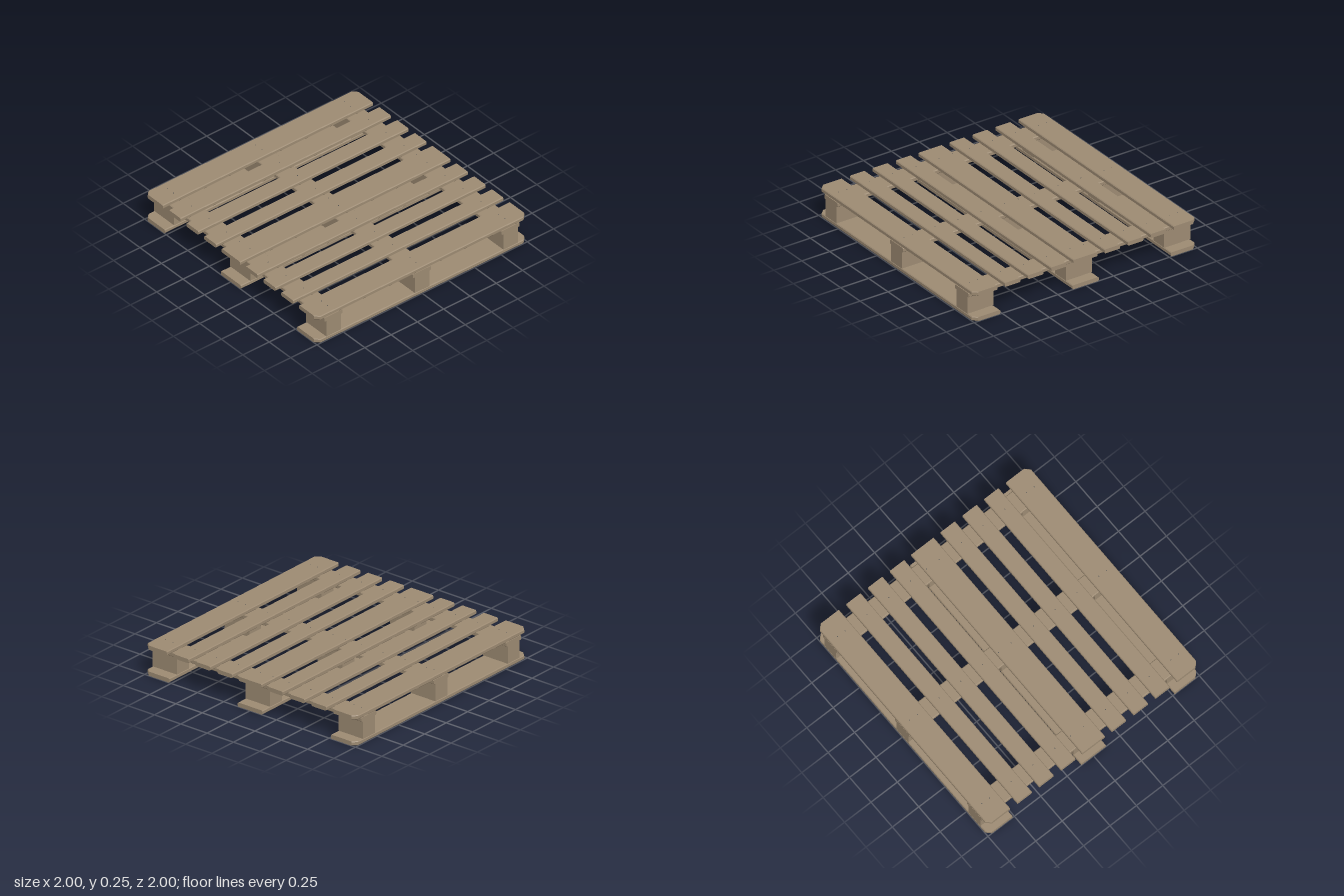
import * as THREE from 'three';

const wood = new THREE.MeshStandardMaterial({ color: 0x9c8a72 });
wood.name = 'wood';
const steel = new THREE.MeshStandardMaterial({ color: 0x5a5854 });
steel.name = 'nail steel';

// Plank along x with eased long edges; side = +1/-1 clips the two corners on that z side.
function plankGeometry(length, width, height, side = 0) {
  const w = width / 2, h = height / 2, e = 0.006, clip = 0.035;
  const profile = new THREE.Shape([
    [-w + e, -h], [w - e, -h], [w, -h + e], [w, h - e],
    [w - e, h], [-w + e, h], [-w, h - e], [-w, -h + e],
  ].map(([x, y]) => new THREE.Vector2(x, y)));
  const g = new THREE.ExtrudeGeometry(profile, { depth: length, steps: side ? 3 : 1, bevelEnabled: false });
  g.translate(0, 0, -length / 2).rotateY(Math.PI / 2);
  if (side) {
    const p = g.attributes.position;
    for (let i = 0; i < p.count; i++) {
      const x = p.getX(i), z = p.getZ(i);
      if (Math.abs(x) < length / 2 - 0.001) p.setX(i, Math.sign(x) * (length / 2 - clip));
      else if (z * side > 0) p.setZ(i, z - side * clip);
    }
    g.computeVertexNormals();
  }
  return g;
}

export function createModel() {
  const model = new THREE.Group();
  const columns = [-0.842, 0, 0.842];
  const nailGeometry = new THREE.CylinderGeometry(0.004, 0.004, 0.004, 8);

  function add(name, geometry, x, y, z, material = wood) {
    const mesh = new THREE.Mesh(geometry, material);
    mesh.name = name;
    mesh.position.set(x, y, z);
    model.add(mesh);
    return mesh;
  }

  // Deck boards: wide ones at the ends and middle, narrow ones between
  const deck = [[0, 0.215, 0]];
  for (const s of [-1, 1]) {
    deck.push([s * 0.895, 0.21, s]);
    for (const z of [0.24, 0.447, 0.653]) deck.push([s * z, 0.138, 0]);
  }
  for (const [z, width, side] of deck) {
    add('deckBoard', plankGeometry(2, width, 0.034, side), 0, 0.228, z);
    const offsets = z === 0 ? [-0.09, 0.03] : width > 0.2 ? [-0.036, 0.036] : [0];
    for (const x of columns)
      for (const dz of offsets) add('deckNail', nailGeometry, x, 0.2438, z + dz, steel);
  }

  // Stringer boards running front to back
  for (const x of columns)
    add('stringerBoard', plankGeometry(2, 0.172, 0.035), x, 0.1935, 0).rotation.y = Math.PI / 2;

  // Bottom boards with the spacer blocks standing on them
  const blockGeometry = new THREE.BoxGeometry(0.138, 0.142, 0.234);
  for (const side of [-1, 0, 1]) {
    const z = side * 0.883;
    add('bottomBoard', plankGeometry(2, 0.234, 0.034, side), 0, 0.017, z);
    for (const x of columns) {
      add('spacerBlock', blockGeometry, x, 0.105, z);
      for (const dz of [-0.056, 0, 0.056]) add('bottomNail', nailGeometry, x, 0.0015, z + dz, steel);
    }
  }
  return model;
}
